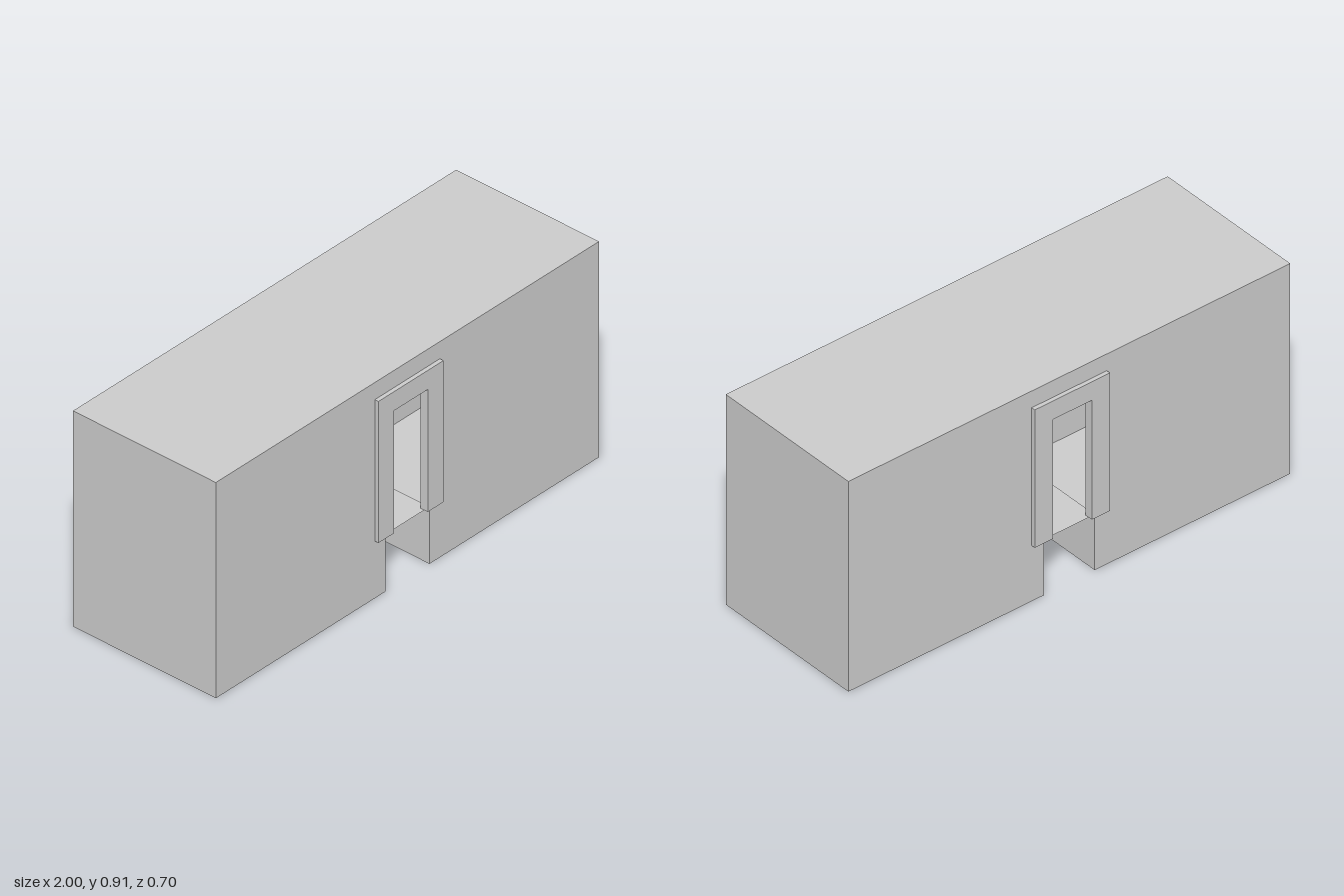
import * as THREE from 'three';

const HALF_DEPTH = 0.333, HEIGHT = 0.907;
const PASSAGE_X = 0.115, PASSAGE_Y = 0.24;
const DOOR_X = 0.088, DOOR_TOP = 0.755;
const FRAME_X = 0.17, FRAME_TOP = 0.835, FRAME_DEPTH = 0.034;

const material = new THREE.MeshStandardMaterial({ color: 0xcccccc, side: THREE.DoubleSide, flatShading: true });

function addMesh(parent, name, geometry) {
  const mesh = new THREE.Mesh(geometry, material);
  mesh.name = name;
  parent.add(mesh);
  return mesh;
}

// Shape symmetric about x = 0, from the points of its right half
function mirroredShape(half) {
  const left = half.map(([x, y]) => [-x, y]).reverse();
  return new THREE.Shape([...half, ...left].map(([x, y]) => new THREE.Vector2(x, y)));
}

// Flat panel spanning the full depth between two points of the outline
function panelGeometry([x0, y0], [x1, y1]) {
  const length = Math.hypot(x1 - x0, y1 - y0);
  const geometry = new THREE.PlaneGeometry(length, 2 * HALF_DEPTH);
  geometry.rotateX(-Math.PI / 2);
  geometry.rotateZ(Math.atan2(y1 - y0, x1 - x0));
  geometry.translate((x0 + x1) / 2, (y0 + y1) / 2, 0);
  return geometry;
}

export function createModel() {
  const model = new THREE.Group();
  model.name = 'building';

  // Hollow shell: roof, ends, floors and the low passage, as thin panels
  const shell = new THREE.Group();
  shell.name = 'shell';
  model.add(shell);
  const R = [1, HEIGHT], L = [-1, HEIGHT];
  addMesh(shell, 'roof', panelGeometry(R, L).rotateZ(Math.PI).translate(0, 2 * HEIGHT, 0));
  addMesh(shell, 'passageCeiling', panelGeometry([-PASSAGE_X, PASSAGE_Y], [PASSAGE_X, PASSAGE_Y]));
  for (const [side, s] of [['left', 1], ['right', -1]]) {
    addMesh(shell, side + 'EndWall', panelGeometry([s, 0], [s, HEIGHT]));
    addMesh(shell, side + 'Floor', panelGeometry([s * PASSAGE_X, 0], [s, 0]));
    addMesh(shell, side + 'PassageWall', panelGeometry([s * PASSAGE_X, 0], [s * PASSAGE_X, PASSAGE_Y]));
  }

  // Front and back walls, open at the passage and the doorway
  const wallShape = mirroredShape([
    [DOOR_X, DOOR_TOP], [DOOR_X, PASSAGE_Y], [PASSAGE_X, PASSAGE_Y],
    [PASSAGE_X, 0], [1, 0], [1, HEIGHT],
  ]);
  // Door surround: two jambs and a lintel, half sunk into the wall
  const frameShape = mirroredShape([
    [DOOR_X, DOOR_TOP], [DOOR_X, PASSAGE_Y], [FRAME_X, PASSAGE_Y], [FRAME_X, FRAME_TOP],
  ]);
  for (const [name, turn] of [['front', 0], ['back', Math.PI]]) {
    const side = new THREE.Group();
    side.name = name + 'Side';
    side.rotation.y = turn;
    addMesh(side, name + 'Wall', new THREE.ShapeGeometry(wallShape)).position.z = HALF_DEPTH;
    addMesh(side, name + 'DoorFrame', new THREE.ExtrudeGeometry(frameShape, { depth: FRAME_DEPTH, bevelEnabled: false }))
      .position.z = HALF_DEPTH - FRAME_DEPTH / 2;
    model.add(side);
  }
  return model;
}
